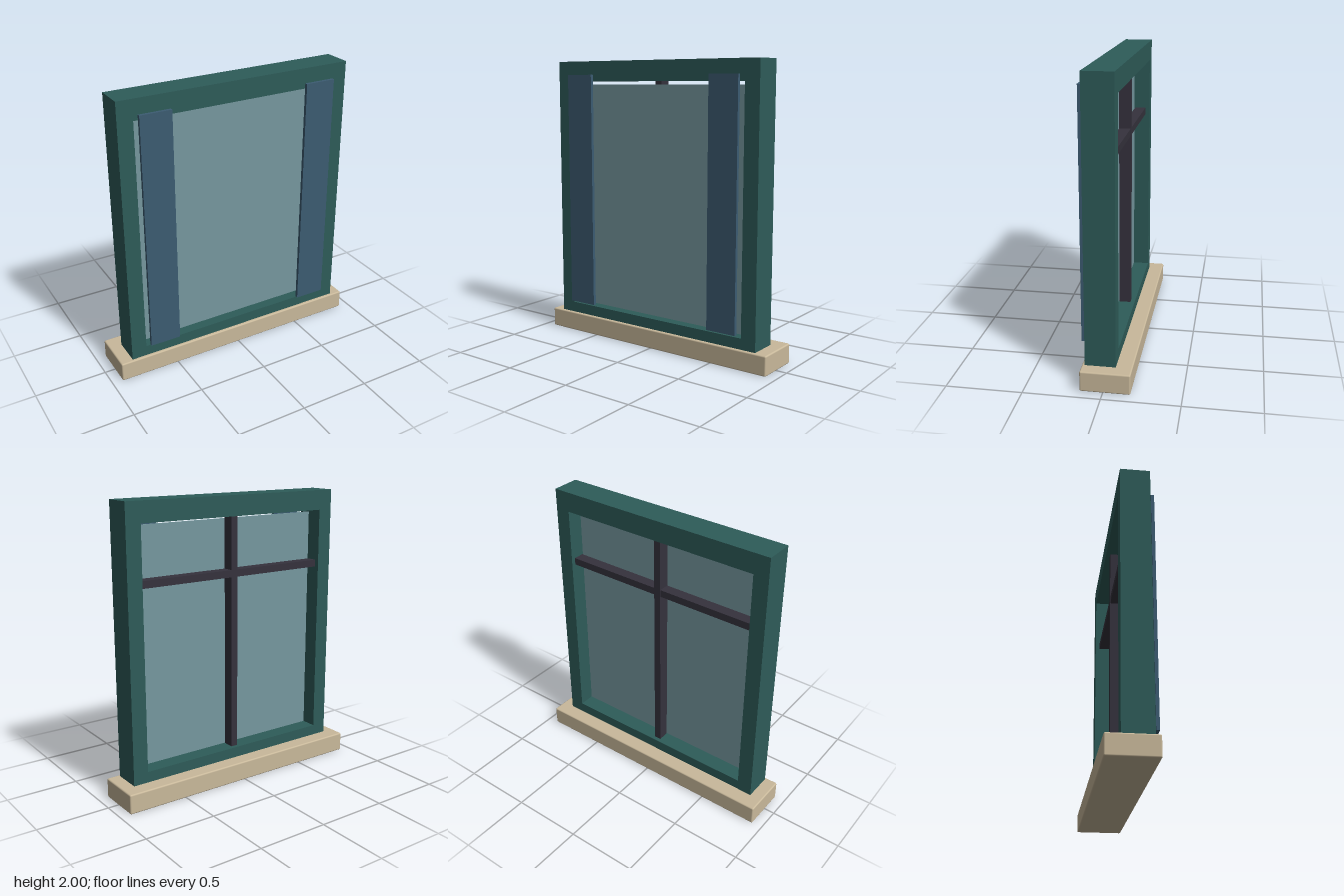
import * as THREE from 'three';
import { RoundedBoxGeometry } from 'three/addons/geometries/RoundedBoxGeometry.js';

function material(name, color) {
  const m = new THREE.MeshStandardMaterial({ color });
  m.name = name;
  return m;
}

export function createModel() {
  const group = new THREE.Group();
  group.name = 'window';
  const green = material('frameGreen', 0x2e5c59);
  const glass = material('paneBlue', 0x76989f);
  const blue = material('curtainBlue', 0x3c5c72);
  const stone = material('sillStone', 0xc9b99b);
  const dark = material('barDark', 0x35323d);

  const add = (name, geometry, mat) => {
    const mesh = new THREE.Mesh(geometry, mat);
    mesh.name = name;
    group.add(mesh);
    return mesh;
  };
  // Box given by its lower and upper corners
  const box = (name, [x0, y0, z0], [x1, y1, z1], mat) =>
    add(name, new THREE.BoxGeometry(x1 - x0, y1 - y0, z1 - z0), mat)
      .position.set((x0 + x1) / 2, (y0 + y1) / 2, (z0 + z1) / 2);
  const rectangle = (path, x, y0, y1) =>
    path.moveTo(-x, y0).lineTo(x, y0).lineTo(x, y1).lineTo(-x, y1).closePath();

  // Sill with softened edges
  add('sill', new RoundedBoxGeometry(1.855, 0.137, 0.325, 2, 0.01), stone)
    .position.set(0, 0.0685, -0.0135);

  // Frame around a rectangular opening
  const outline = rectangle(new THREE.Shape(), 0.839, 0.1, 2);
  outline.holes.push(rectangle(new THREE.Path(), 0.732, 0.212, 1.86));
  add('frame', new THREE.ExtrudeGeometry(outline, { depth: 0.2, bevelEnabled: false }), green)
    .position.z = -0.07;

  // Pane, with a small gap under the top rail
  box('pane', [-0.732, 0.212, 0.045], [0.732, 1.838, 0.057], glass);

  // Glazing bars behind the pane
  box('verticalBar', [-0.025, 0.212, -0.04], [0.025, 1.86, 0.04], dark);
  box('horizontalBar', [-0.732, 1.445, -0.039], [0.732, 1.495, 0.039], dark);

  // Flat curtains in front of the frame
  for (const side of [-1, 1]) {
    const x = side * 0.6025;
    box(side > 0 ? 'leftCurtain' : 'rightCurtain',
      [x - 0.109, 0.237, 0.154], [x + 0.109, 1.905, 0.176], blue);
  }
  return group;
}
